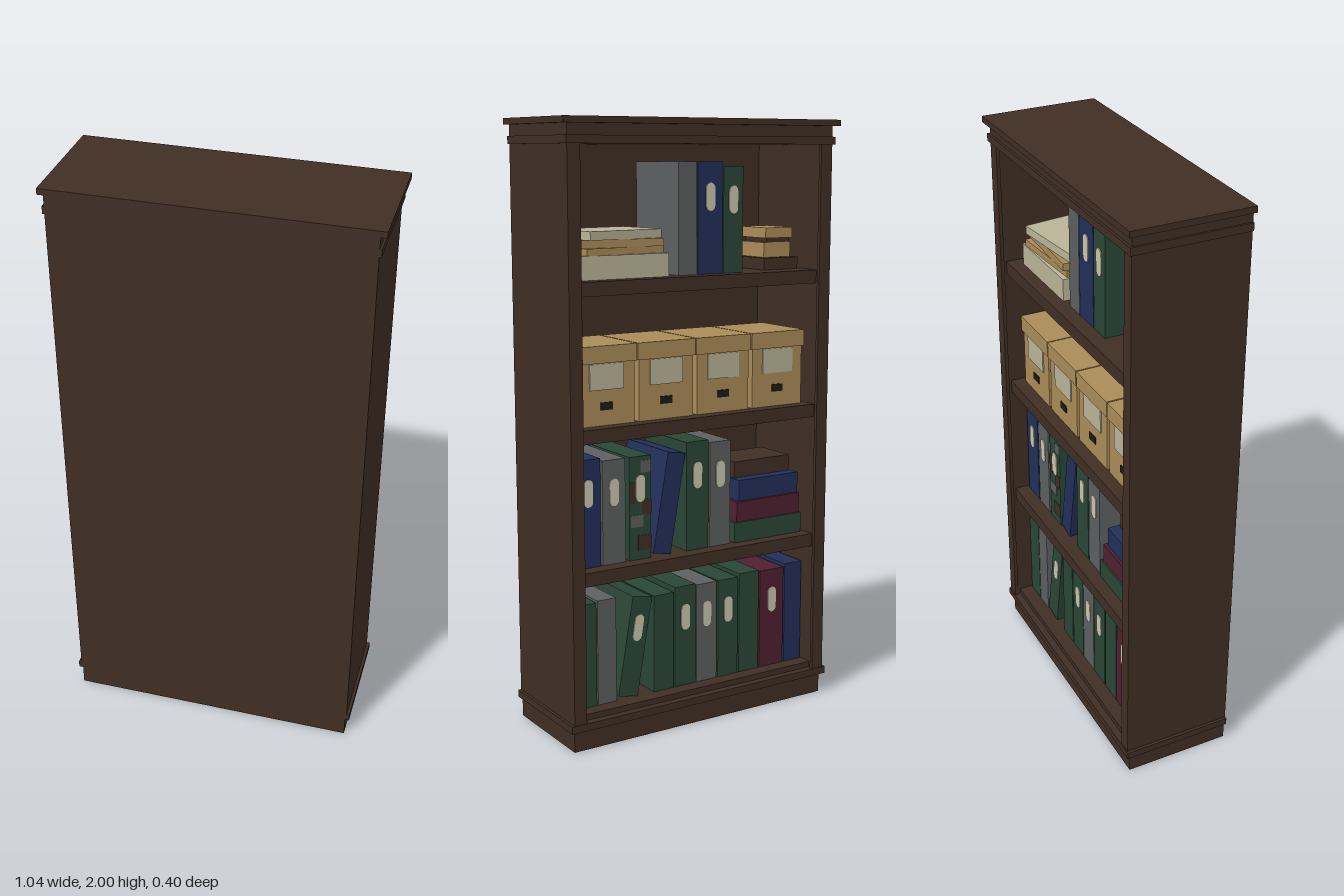
import * as THREE from 'three';

const paint = (name, color) => {
  const m = new THREE.MeshStandardMaterial({ color });
  m.name = name;
  return m;
};

export function createModel() {
  const root = new THREE.Group();
  root.name = 'bookcase';

  const wood = paint('dark wood', 0x3f2e24);
  const green = paint('binder green', 0x2a4636);
  const navy = paint('binder navy', 0x22305a);
  const grey = paint('binder grey', 0x5c6060);
  const maroon = paint('binder maroon', 0x4f2030);
  const card = paint('tan cardboard', 0xaa8c58);
  const paper = paint('cream paper', 0xbab498);
  const label = paint('label cream', 0xcbc6ae);
  const dark = paint('dark slot', 0x1e1a16);

  // Box given by its minimum and maximum on each axis
  function box(name, mat, x0, x1, y0, y1, z0, z1, parent = root) {
    const m = new THREE.Mesh(new THREE.BoxGeometry(x1 - x0, y1 - y0, z1 - z0), mat);
    m.position.set((x0 + x1) / 2, (y0 + y1) / 2, (z0 + z1) / 2);
    m.name = name;
    parent.add(m);
    return m;
  }

  // Carcass: the open side faces -z, the closed panel faces +z
  box('plinth', wood, -0.495, 0.495, 0, 0.07, -0.17, 0.2);
  box('baseMoulding', wood, -0.51, 0.51, 0.07, 0.095, -0.185, 0.2);
  box('backPanel', wood, -0.5, 0.5, 0.095, 1.92, 0.175, 0.2);
  for (const s of [-1, 1]) {
    box('sidePanel', wood, Math.min(s * 0.46, s * 0.5), Math.max(s * 0.46, s * 0.5), 0.095, 1.92, -0.17, 0.175);
    box('stile', wood, Math.min(s * 0.455, s * 0.5), Math.max(s * 0.455, s * 0.5), 0.095, 1.92, -0.182, -0.17);
  }
  box('topMoulding', wood, -0.507, 0.507, 1.92, 1.945, -0.19, 0.2);
  box('frieze', wood, -0.5, 0.5, 1.945, 1.98, -0.182, 0.2);
  box('cornice', wood, -0.52, 0.52, 1.98, 2, -0.2, 0.2);

  // Shelves, given by their top surfaces
  const levels = [0.115, 0.585, 1.045, 1.505];
  levels.forEach((y, i) =>
    box('shelf', wood, -0.46, 0.46, i ? y - 0.045 : 0.095, y, -0.16, 0.175));

  // Capsule-shaped spine label
  const w = 0.017, half = 0.028;
  const capsule = new THREE.Shape();
  capsule.absarc(0, half, w, 0, Math.PI, false);
  capsule.absarc(0, -half, w, Math.PI, Math.PI * 2, false);
  const labelGeo = new THREE.ExtrudeGeometry(capsule, { depth: 0.003, bevelEnabled: false, curveSegments: 6 });

  // Upright binder from x0 to x1; a lean pivots on its lower -x corner
  const front = -0.11;
  function binder(mat, x0, x1, y, h, labelled, lean = 0) {
    const g = new THREE.Group();
    g.name = 'binder';
    g.position.set(x0, y, 0);
    g.rotation.z = lean;
    box('binderCover', mat, 0, x1 - x0, 0, h, front, 0.15, g);
    if (labelled) {
      const l = new THREE.Mesh(labelGeo, label);
      l.name = 'spineLabel';
      l.position.set((x1 - x0) / 2, h * 0.69, front - 0.003);
      g.add(l);
    }
    root.add(g);
    return g;
  }

  // Bottom shelf
  const y0 = levels[0];
  [
    [green, 0.377, 0.455, 0.35, false],
    [grey, 0.303, 0.373, 0.355, false],
    [green, 0.222, 0.297, 0.34, true, 0.17],
    [green, 0.08, 0.158, 0.335, false],
    [green, -0.008, 0.074, 0.35, true],
    [grey, -0.094, -0.012, 0.345, true],
    [green, -0.182, -0.1, 0.345, true],
    [green, -0.27, -0.188, 0.355, false],
    [maroon, -0.377, -0.276, 0.35, true],
    [navy, -0.455, -0.383, 0.36, false],
  ].forEach(([mat, a, b, h, l, lean]) => binder(mat, a, b, y0, h, l, lean));

  // Second shelf
  const y1 = levels[1];
  [
    [navy, 0.357, 0.448, 0.355, true],
    [grey, 0.265, 0.35, 0.345, true],
    [navy, 0.092, 0.16, 0.34, false, 0.17],
    [green, -0.058, 0.03, 0.37, true],
    [grey, -0.147, -0.064, 0.36, true],
  ].forEach(([mat, a, b, h, l, lean]) => binder(mat, a, b, y1, h, l, lean));

  // Patterned binder with mottled spine
  const mottled = binder(green, 0.168, 0.25, y1, 0.345, true);
  [[0, 0.05, 0.03, 0.08, wood], [0.03, 0.08, 0.11, 0.15, grey], [0, 0.035, 0.15, 0.2, wood],
    [0.06, 0.082, 0.19, 0.26, wood], [0, 0.04, 0.29, 0.33, grey]].forEach(([a, b, c, d, mat]) =>
    box('spinePatch', mat, a, b, c, d, front - 0.002, front, mottled));

  // Books lying flat
  box('flatBook', green, -0.445, -0.163, y1, y1 + 0.07, -0.115, 0.12);
  box('flatBook', maroon, -0.44, -0.175, y1 + 0.07, y1 + 0.14, -0.11, 0.11);
  box('flatBook', navy, -0.44, -0.19, y1 + 0.14, y1 + 0.212, -0.1, 0.11);
  box('flatBook', wood, -0.43, -0.2, y1 + 0.212, y1 + 0.268, -0.06, 0.1);

  // Third shelf: lidded archive boxes
  const y2 = levels[2];
  for (let i = 0; i < 4; i++) {
    const g = new THREE.Group();
    g.name = 'archiveBox';
    g.position.set(0.334 - i * 0.2225, y2, 0);
    box('boxBody', card, -0.103, 0.103, 0, 0.2, -0.115, 0.115, g);
    box('boxLid', card, -0.109, 0.109, 0.2, 0.255, -0.121, 0.121, g);
    box('boxLabel', paper, -0.062, 0.062, 0.115, 0.198, -0.119, -0.115, g);
    box('boxHandle', dark, -0.022, 0.022, 0.05, 0.075, -0.118, -0.115, g);
    root.add(g);
  }

  // Top shelf: paper stack, binders and a small tray
  const y3 = levels[3];
  [
    [paper, 0, 0.075, 0.32, 0.23, 0],
    [card, 0.075, 0.097, 0.29, 0.21, 0.06],
    [card, 0.097, 0.122, 0.3, 0.2, -0.05],
    [paper, 0.122, 0.15, 0.28, 0.2, 0.12],
  ].forEach(([mat, a, b, wide, deep, turn]) => {
    const m = box('paperStack', mat, 0.26 - wide / 2, 0.26 + wide / 2, y3 + a, y3 + b, -deep / 2, deep / 2);
    m.rotation.y = turn;
  });
  binder(grey, -0.009, 0.061, y3, 0.36, false);
  binder(navy, -0.109, -0.013, y3, 0.36, true);
  binder(green, -0.19, -0.113, y3, 0.345, true);
  box('tray', wood, -0.44, -0.3, y3, y3 + 0.04, -0.08, 0.1);
  box('cardStack', card, -0.43, -0.32, y3 + 0.04, y3 + 0.09, -0.05, 0.08);
  box('flatBook', wood, -0.425, -0.33, y3 + 0.09, y3 + 0.105, -0.05, 0.07);
  box('cardStack', card, -0.43, -0.32, y3 + 0.105, y3 + 0.14, -0.06, 0.08);

  return root;
}
